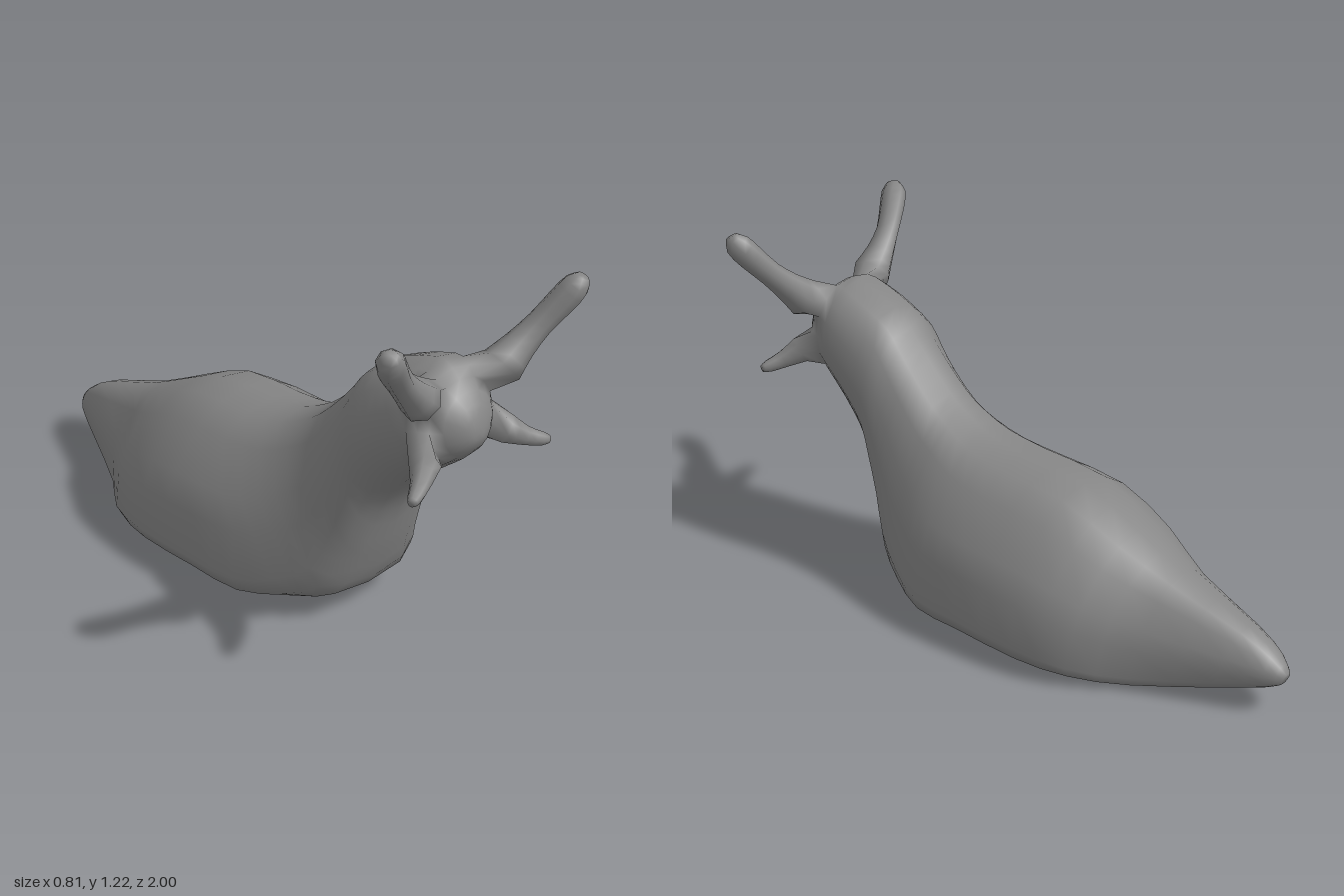
import * as THREE from 'three';

const SIDES = 16; // points around a body ring

// Smoothly resample a list of number rows, adding steps between each pair
function resample(rows, steps) {
  const out = [];
  const n = rows.length - 1;
  for (let i = 0; i < n * steps + 1; i++) {
    const k = Math.min(Math.floor(i / steps), n - 1);
    const t = i / steps - k;
    const [a, b, c, d] = [k - 1, k, k + 1, k + 2].map(q => rows[Math.max(0, Math.min(n, q))]);
    out.push(b.map((_, m) => b[m] + 0.5 * t * (c[m] - a[m] +
      t * (2 * a[m] - 5 * b[m] + 4 * c[m] - d[m] + t * (3 * (b[m] - c[m]) + d[m] - a[m])))));
  }
  return out;
}

// Body rings: wide flat-soled sections that turn into round neck and head sections
function bodyRings() {
  // bottom z, bottom y, top z, top y, half width, roundness
  const sections = [
    [-0.985, 0.10, -1.0, 0.14, 0.02, 1],
    [-0.95, 0.085, -0.95, 0.19, 0.06, 0.7],
    [-0.80, 0.045, -0.85, 0.25, 0.115, 0.3],
    [-0.55, 0.0, -0.60, 0.345, 0.215, 0],
    [-0.38, 0.01, -0.42, 0.435, 0.325, 0],
    [-0.20, 0.02, -0.20, 0.535, 0.37, 0],
    [0.05, 0.035, 0.05, 0.56, 0.37, 0],
    [0.25, 0.025, 0.20, 0.59, 0.34, 0],
    [0.40, 0.05, 0.30, 0.64, 0.285, 0.15],
    [0.52, 0.085, 0.37, 0.69, 0.237, 0.5],
    [0.57, 0.18, 0.46, 0.78, 0.207, 0.75],
    [0.61, 0.30, 0.52, 0.85, 0.195, 0.9],
    [0.645, 0.42, 0.57, 0.91, 0.19, 1],
    [0.70, 0.52, 0.66, 0.955, 0.187, 1],
    [0.77, 0.60, 0.74, 0.985, 0.18, 1],
    [0.84, 0.66, 0.81, 1.0, 0.165, 1],
    [0.90, 0.71, 0.87, 0.96, 0.13, 1],
    [0.945, 0.76, 0.93, 0.90, 0.07, 1],
    [0.96, 0.80, 0.955, 0.84, 0.02, 1],
  ];
  // half outline from back ridge to sole: width share, height share
  const slope = [[0, 1], [0.3, 0.965], [0.56, 0.85], [0.82, 0.6], [0.93, 0.42],
    [1, 0.14], [0.94, 0.05], [0.76, 0.01], [0, 0]];
  const round = slope.map((_, i) => {
    const a = i * Math.PI / 8;
    return [Math.pow(Math.abs(Math.sin(a)), 0.85), 0.5 + 0.5 * Math.cos(a)];
  });
  return resample(sections, 2).map(([bz, by, tz, ty, w, e]) => {
    const half = slope.map(([u, v], i) => {
      const x = w * THREE.MathUtils.lerp(u, round[i][0], e);
      const h = THREE.MathUtils.lerp(v, round[i][1], e);
      return new THREE.Vector3(x, by + (ty - by) * h, bz + (tz - bz) * h);
    });
    const mirrored = half.slice(1, -1).reverse().map(p => new THREE.Vector3(-p.x, p.y, p.z));
    return [...half, ...mirrored];
  });
}

// Feeler rings: circles along a path of x, y, z, radius rows
function feelerRings(path, side) {
  const rows = resample(path, 2).map(([x, y, z, r]) => ({ p: new THREE.Vector3(x * side, y, z), r }));
  return rows.map(({ p, r }, i) => {
    const ahead = rows[Math.min(i + 1, rows.length - 1)].p;
    const forward = ahead.clone().sub(rows[Math.max(i - 1, 0)].p).normalize();
    const right = new THREE.Vector3(0, 1, 0).cross(forward).normalize();
    const up = forward.clone().cross(right);
    return Array.from({ length: 8 }, (_, j) => {
      const a = j * Math.PI / 4;
      return p.clone().addScaledVector(up, r * Math.cos(a)).addScaledVector(right, r * Math.sin(a));
    });
  });
}

export function createModel() {
  const points = [];
  const index = [];

  const addRing = ring => ring.map(p => points.push(p) - 1);

  // Band of faces between two rings of point numbers, leaving out skipped faces
  const bridge = (a, b, skip = () => false) => a.forEach((_, j) => {
    const k = (j + 1) % a.length;
    if (!skip(j)) index.push(a[j], b[j], a[k], a[k], b[j], b[k]);
  });

  // Fan that closes a ring
  const cap = ring => {
    const centre = new THREE.Vector3();
    ring.forEach(i => centre.add(points[i]));
    const c = points.push(centre.divideScalar(ring.length)) - 1;
    ring.forEach((p, j) => index.push(c, p, ring[(j + 1) % ring.length]));
  };

  // Feelers grow out of openings two faces wide and high in the head
  const eyeStalk = [
    [0.165, 0.955, 0.88, 0.066], [0.22, 1.005, 0.892, 0.05], [0.28, 1.065, 0.912, 0.041],
    [0.335, 1.13, 0.94, 0.044], [0.37, 1.178, 0.962, 0.042], [0.382, 1.207, 0.975, 0.02],
  ];
  const lowerFeeler = [
    [0.165, 0.757, 0.908, 0.048], [0.215, 0.728, 0.943, 0.031],
    [0.262, 0.711, 0.968, 0.022], [0.284, 0.706, 0.978, 0.012],
  ];
  const firstRing = 30;
  const openings = [[eyeStalk, 1], [lowerFeeler, 4]].flatMap(([path, j]) => [
    { path, j, side: 1 }, { path, j: SIDES - 2 - j, side: -1 },
  ]);

  // Tail, trunk, neck and head
  const body = bodyRings().map(addRing);
  for (let s = 0; s < body.length - 1; s++) {
    const open = s === firstRing || s === firstRing + 1;
    bridge(body[s], body[s + 1], j => open && openings.some(o => j === o.j || j === o.j + 1));
  }
  cap(body[0]);
  cap([...body[body.length - 1]].reverse());

  // Eye stalks and lower feelers, each starting at the rim of its opening
  const rim = [[1, 0], [0, 0], [0, 1], [0, 2], [1, 2], [2, 2], [2, 1], [2, 0]];
  for (const { path, j, side } of openings) {
    const turned = side > 0 ? rim : [...rim.slice(4), ...rim.slice(0, 4)];
    let previous = turned.map(([ds, dj]) => body[firstRing + ds][j + dj]);
    for (const ring of feelerRings(path, side)) {
      const next = addRing(ring);
      bridge(previous, next);
      previous = next;
    }
    cap(previous.reverse());
  }

  const geometry = new THREE.BufferGeometry().setFromPoints(points);
  geometry.setIndex(index);
  geometry.computeVertexNormals();
  const mesh = new THREE.Mesh(geometry, new THREE.MeshStandardMaterial({ color: 0x858585 }));
  mesh.name = 'bodyWithFeelers';

  const group = new THREE.Group();
  group.name = 'slug';
  group.add(mesh);
  return group;
}
